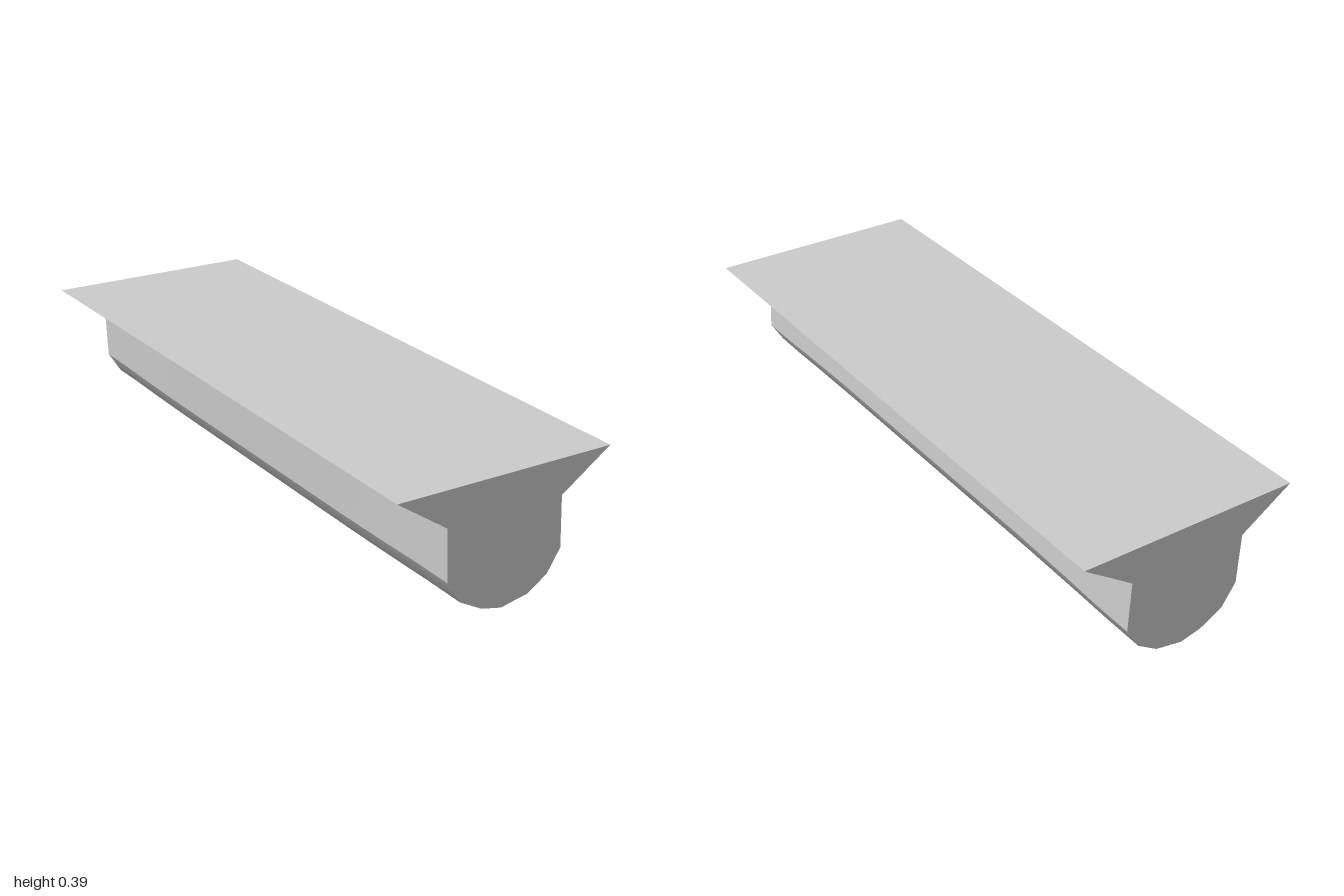
import * as THREE from 'three';

// Cross-section from the left rim, round under the belly, to the right rim.
const END = [
  [-0.347, 0.393], [-0.188, 0.285], [-0.182, 0.127], [-0.138, 0.058], [-0.066, 0.018],
  [0, 0.002], [0.088, 0.018], [0.153, 0.06], [0.195, 0.128], [0.188, 0.285], [0.347, 0.393],
];
// Slightly bowed section at mid length.
const MID = [
  [-0.347, 0.393], [-0.191, 0.279], [-0.184, 0.122], [-0.139, 0.054], [-0.067, 0.014],
  [0, 0], [0.085, 0.017], [0.15, 0.062], [0.192, 0.135], [0.186, 0.294], [0.347, 0.393],
];
// Smooth strips of the section; the joins between them stay sharp.
const STRIPS = [
  ['leftFlangeUnderside', 0, 1], ['leftWall', 1, 2], ['belly', 2, 8],
  ['rightWall', 8, 9], ['rightFlangeUnderside', 9, 10],
];

const material = new THREE.MeshStandardMaterial({ color: 0xcccccc });

function add(parent, name, geometry) {
  const mesh = new THREE.Mesh(geometry, material);
  mesh.name = name;
  parent.add(mesh);
  return mesh;
}

// Skin of section points first..last along the stations [z, bow].
function skin(stations, first, last) {
  const positions = [];
  const index = [];
  const row = last - first + 1;
  stations.forEach(([z, bow], s) => {
    for (let i = first; i <= last; i++) {
      const x = THREE.MathUtils.lerp(END[i][0], MID[i][0], bow);
      const y = THREE.MathUtils.lerp(END[i][1], MID[i][1], bow);
      positions.push(x, y, z);
      if (s > 0 && i < last) {
        const a = (s - 1) * row + i - first;
        index.push(a, a + 1, a + row, a + 1, a + row + 1, a + row);
      }
    }
  });
  const geometry = new THREE.BufferGeometry();
  geometry.setAttribute('position', new THREE.Float32BufferAttribute(positions, 3));
  geometry.setIndex(index);
  geometry.computeVertexNormals();
  return geometry;
}

export function createModel() {
  const model = new THREE.Group();
  model.name = 'beam';

  // Straight end blocks and the bowed span between them.
  const spans = {
    backBlock: [[-1, 0], [-0.86, 0]],
    middleSpan: [[-0.86, 0], [-0.72, 0.55], [-0.5, 1], [0, 1], [0.5, 1], [0.72, 0.55], [0.86, 0]],
    frontBlock: [[0.86, 0], [1, 0]],
  };
  for (const [name, stations] of Object.entries(spans)) {
    const group = new THREE.Group();
    group.name = name;
    for (const [strip, first, last] of STRIPS) add(group, strip, skin(stations, first, last));
    model.add(group);
  }

  // Flat top.
  const top = add(model, 'topPlate', new THREE.PlaneGeometry(0.694, 2));
  top.rotation.x = -Math.PI / 2;
  top.position.y = 0.393;

  // End faces; the back one is turned round, so its outline is mirrored.
  for (const side of [1, -1]) {
    const outline = new THREE.Shape(END.map(([x, y]) => new THREE.Vector2(x * side, y)));
    const face = add(model, side > 0 ? 'frontFace' : 'backFace', new THREE.ShapeGeometry(outline));
    face.position.z = side;
    if (side < 0) face.rotation.y = Math.PI;
  }
  return model;
}
